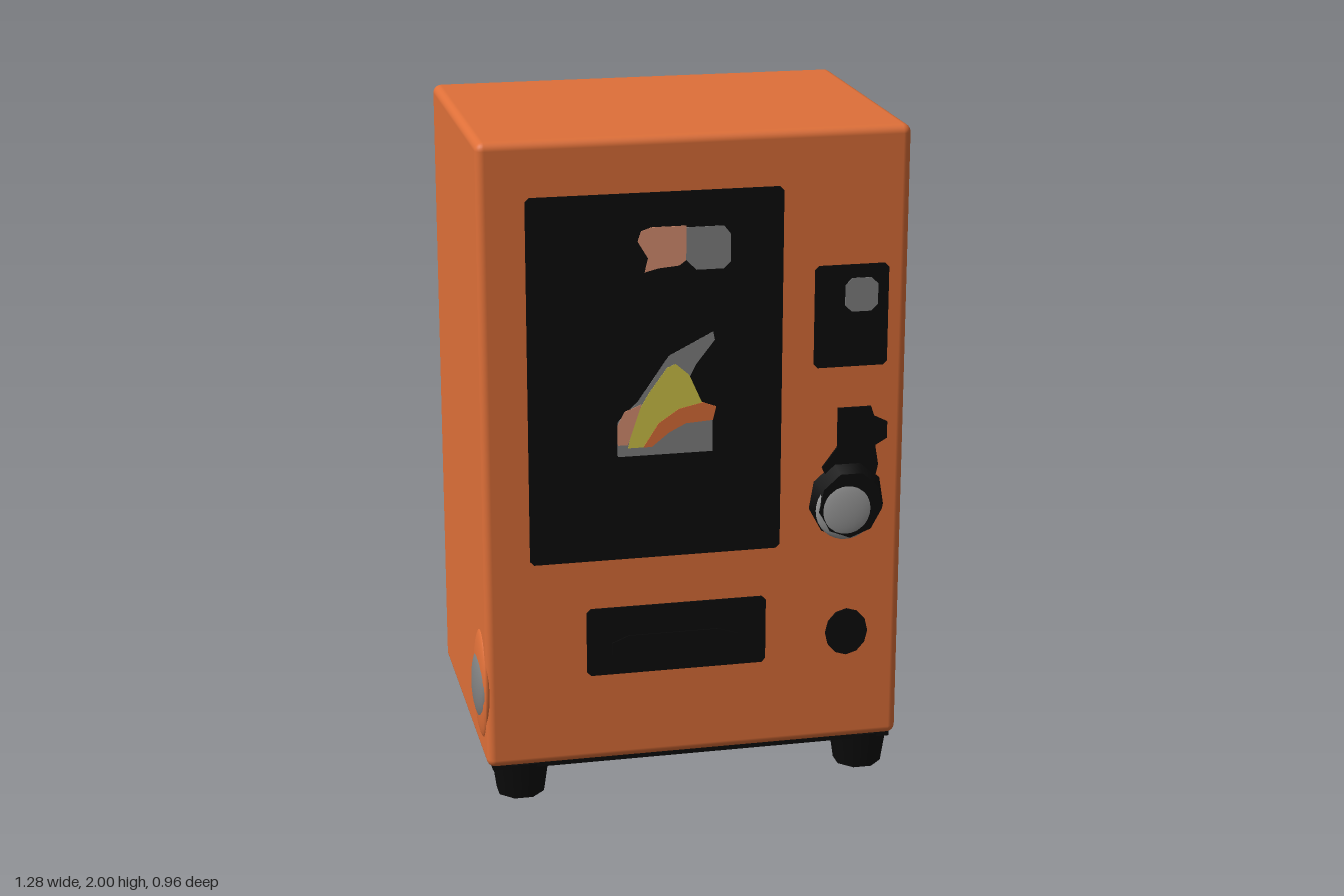
import * as THREE from 'three';
import { RoundedBoxGeometry } from 'three/addons/geometries/RoundedBoxGeometry.js';

const mat = (name, color) => {
  const m = new THREE.MeshStandardMaterial({ color });
  m.name = name;
  return m;
};

export function createModel() {
  const orange = mat('orange paint', 0xdf7039);
  const black = mat('black', 0x0b0b0b);
  const grey = mat('grey', 0x828282);
  const silver = mat('silver', 0x9c9c9c);
  const yellow = mat('yellow', 0xd2c648);
  const salmon = mat('salmon', 0xdc9273);
  const beige = mat('beige label', 0xd89c80);

  const group = new THREE.Group();
  const FRONT = 0.42, BACK = -0.475;

  const add = (name, geometry, material, x = 0, y = 0, z = 0) => {
    const m = new THREE.Mesh(geometry, material);
    m.name = name;
    m.position.set(x, y, z);
    group.add(m);
    return m;
  };
  // thin plate from an outline, standing at depth z
  const plate = (name, points, material, z, depth = 0.004) => {
    const shape = new THREE.Shape(points.map(([x, y]) => new THREE.Vector2(x, y)));
    return add(name, new THREE.ExtrudeGeometry(shape, { depth, bevelEnabled: false }), material, 0, 0, z);
  };
  // rectangular plate with clipped corners
  const panel = (name, x0, x1, y0, y1, material, z, depth, c = 0.012) => plate(name, [
    [x0 + c, y0], [x1 - c, y0], [x1, y0 + c], [x1, y1 - c],
    [x1 - c, y1], [x0 + c, y1], [x0, y1 - c], [x0, y0 + c],
  ], material, z, depth);
  const ellipsoid = (name, material, x, y, z, rx, ry, rz) => {
    const g = new THREE.SphereGeometry(1, 24, 16);
    g.scale(rx, ry, rz);
    return add(name, g, material, x, y, z);
  };

  // cabinet and underside
  add('cabinet', new RoundedBoxGeometry(1.255, 1.885, FRONT - BACK, 3, 0.025), orange,
    0.0125, 1.0575, (FRONT + BACK) / 2);
  add('underside', new THREE.BoxGeometry(1.22, 0.02, 0.86), black, 0.0125, 0.112, -0.0275);

  // tapered feet
  for (const x of [-0.505, 0.545]) {
    for (const z of [0.325, -0.385]) {
      const g = new THREE.CylinderGeometry(0.09, 0.073, 0.115, 8);
      g.rotateY(Math.PI / 8);
      add('foot', g, black, x, 0.0575, z);
    }
  }

  // display window with its picture
  panel('displayWindow', -0.48, 0.265, 0.75, 1.84, black, FRONT, 0.004);
  const art = FRONT + 0.004;
  plate('upperPictureSalmon', [[-0.16, 1.7], [-0.15, 1.73], [-0.12, 1.74], [-0.02, 1.74],
    [-0.02, 1.64], [-0.04, 1.625], [-0.1, 1.62], [-0.14, 1.61], [-0.13, 1.65]].reverse(), salmon, art, 0.002);
  plate('upperPictureGrey', [[-0.02, 1.64], [0.01, 1.61], [0.09, 1.61], [0.11, 1.63],
    [0.11, 1.71], [0.09, 1.735], [-0.02, 1.735]], grey, art, 0.002);
  plate('flameBack', [[-0.22, 1.065], [0.06, 1.065], [0.06, 1.16], [0.03, 1.21], [-0.01, 1.29],
    [0.01, 1.33], [0.065, 1.4], [0.06, 1.425], [0.01, 1.4], [-0.07, 1.36],
    [-0.16, 1.23], [-0.22, 1.17]], grey, art, 0.001);
  plate('flameYellow', [[-0.19, 1.09], [-0.14, 1.09], [-0.07, 1.17], [0.03, 1.21],
    [-0.01, 1.3], [-0.05, 1.335], [-0.075, 1.325], [-0.13, 1.25], [-0.17, 1.18]], yellow, art, 0.002);
  plate('flameOrange', [[-0.145, 1.09], [-0.12, 1.09], [-0.07, 1.13], [-0.02, 1.155],
    [0.06, 1.16], [0.07, 1.2], [0.03, 1.215], [-0.04, 1.2], [-0.1, 1.16]], orange, art, 0.003);
  plate('flameSide', [[-0.22, 1.1], [-0.19, 1.1], [-0.15, 1.22], [-0.2, 1.2], [-0.22, 1.16]],
    salmon, art, 0.0025);

  // payment panel
  panel('paymentPanel', 0.36, 0.58, 1.295, 1.6, black, FRONT, 0.004);
  panel('paymentScreen', 0.45, 0.548, 1.46, 1.56, grey, FRONT + 0.004, 0.002, 0.02);

  // delivery slot
  panel('deliverySlot', -0.315, 0.225, 0.39, 0.6, black, FRONT, 0.006);
  plate('deliveryFlap', [[-0.24, 0.43], [0.14, 0.43], [0.14, 0.49], [0.08, 0.51], [-0.19, 0.51],
    [-0.24, 0.49]], black, FRONT + 0.006, 0.004);

  // coin return
  const coin = add('coinReturn', new THREE.CylinderGeometry(0.065, 0.065, 0.006, 12), black, 0.475, 0.465, FRONT + 0.003);
  coin.rotation.x = Math.PI / 2;
  coin.scale.z = 1.13;

  // handle: flat bracket, raised boss and silver face
  plate('handleBracket', [[0.39, 0.99], [0.43, 0.9], [0.54, 0.9], [0.56, 0.99], [0.55, 1.05],
    [0.585, 1.07], [0.585, 1.12], [0.545, 1.14], [0.535, 1.17], [0.435, 1.17], [0.435, 1.05]],
  black, FRONT, 0.008);
  const bossGeo = new THREE.CylinderGeometry(0.1, 0.121, 0.055, 9);
  bossGeo.rotateX(Math.PI / 2);
  const boss = add('handleBoss', bossGeo, black, 0.467, 0.885, FRONT + 0.0255);
  boss.scale.set(0.96, 1.02, 1);
  ellipsoid('handleFace', silver, 0.455, 0.87, 0.462, 0.092, 0.094, 0.018);

  // bulge and plug on the right side
  ellipsoid('sideBulge', orange, -0.612, 0.35, 0.315, 0.022, 0.17, 0.105);
  ellipsoid('sidePlug', grey, -0.612, 0.35, 0.32, 0.031, 0.115, 0.095);

  // label on the back
  plate('backLabel', [[-0.27, 1.15], [-0.24, 1.14], [0.2, 1.17], [0.215, 1.2], [0.19, 1.54],
    [0.16, 1.56], [-0.2, 1.54], [-0.235, 1.5], [-0.24, 1.22]], beige, BACK - 0.004, 0.005);

  return group;
}
